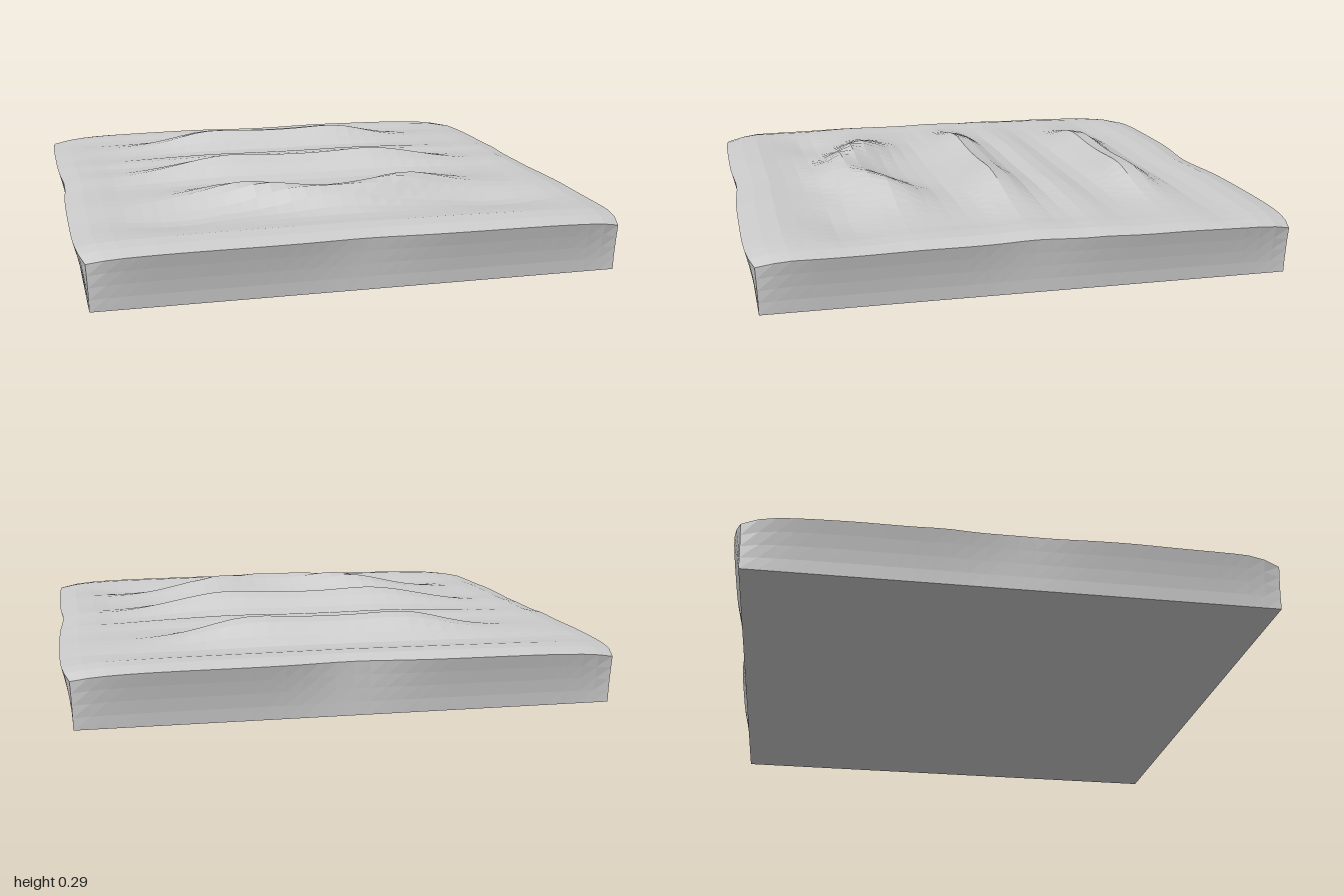
import * as THREE from 'three';

const bell = (d, w) => Math.exp(-(d / w) * (d / w));

// Dune ridges: centre z, forward bow, height, half length in x, back width, front width
const ridges = [
  { z: -0.92, bow: 0, h: 0.010, len: 0.85, back: 0.06, front: 0.07 },
  { z: -0.58, bow: 0, h: 0.070, len: 0.52, back: 0.10, front: 0.09 },
  { z: -0.27, bow: 0, h: 0.022, len: 0.75, back: 0.08, front: 0.07 },
  { z: 0.00, bow: 0, h: 0.072, len: 0.62, back: 0.12, front: 0.10 },
  { z: 0.42, bow: 0.15, h: 0.068, len: 0.55, back: 0.15, front: 0.10 },
  { z: 0.90, bow: 0, h: 0.012, len: 0.95, back: 0.08, front: 0.07 },
];

// Height of the ground at u, v in -1..1
function groundHeight(u, v) {
  const ax = Math.abs(u);
  let y = 0.195 + 0.016 * (1 - u ** 12) * (1 - v ** 12);
  y -= 0.025 * u ** 10 * v ** 10;                     // lowered corners
  for (const r of ridges) {
    const d = v - (r.z + r.bow * bell(u, 0.32));
    const along = 1 / (1 + (ax / r.len) ** 6);
    y += r.h * along * (1 + 0.16 * bell(ax - 0.32, 0.16)) * bell(d, d < 0 ? r.back : r.front);
  }
  y -= 0.022 * bell(ax - 0.65, 0.2) * bell(v - 0.66, 0.1);  // hollows beside the front dune
  y += 0.010 * bell(ax - 0.92, 0.07) * bell(v - 0.1, 0.6);  // raised side rims
  y -= 0.008 * bell(v + 0.77, 0.06) * (1 - u ** 8);
  return y;
}

// Outward bulge of the upper rim, fading to nothing at the corners
const bulge = (s, wave) => 0.032 * (1 - s ** 12) - wave * bell(s, 0.2);

export function createModel() {
  const group = new THREE.Group();

  // Slab with a rippled top and slightly flaring walls
  const geo = new THREE.BoxGeometry(2, 1, 2, 32, 4, 32);
  const p = geo.attributes.position;
  for (let i = 0; i < p.count; i++) {
    const u = p.getX(i), t = p.getY(i) + 0.5, v = p.getZ(i);
    const flare = t ** 1.5;
    const zWave = v < 0 ? 0.028 : 0.015;
    p.setXYZ(i,
      0.96 * u + flare * u ** 5 * (0.007 + bulge(v, 0.014)),
      t * groundHeight(u, v),
      0.96 * v + flare * v ** 5 * (0.007 + bulge(u, zWave)));
  }
  geo.computeVertexNormals();
  const tile = new THREE.Mesh(geo, new THREE.MeshStandardMaterial({ color: 0xcccccc, flatShading: true }));
  tile.name = 'duneGroundTile';
  group.add(tile);
  return group;
}
